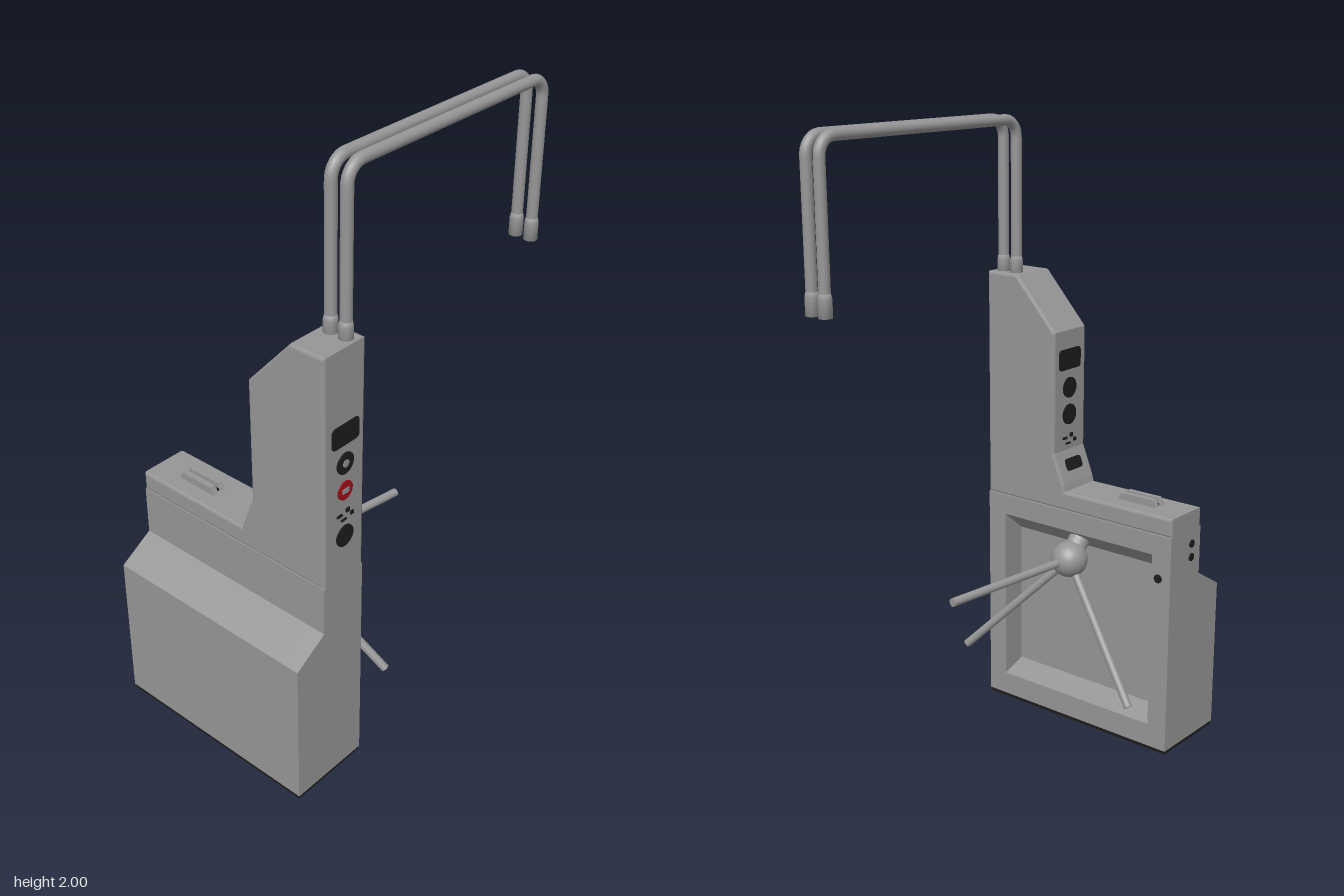
import * as THREE from 'three';

const mat = (name, color) => {
  const m = new THREE.MeshStandardMaterial({ color });
  m.name = name;
  return m;
};

export function createModel() {
  const root = new THREE.Group();
  root.name = 'turnstile';
  const steel = mat('brushed steel', 0x969696);
  const black = mat('black panel', 0x1c1c1c);
  const red = mat('red sign', 0xa01018);

  const add = (name, geo, m, x = 0, y = 0, z = 0, parent = root) => {
    const mesh = new THREE.Mesh(geo, m);
    mesh.name = name;
    mesh.position.set(x, y, z);
    parent.add(mesh);
    return mesh;
  };
  const poly = pts => new THREE.Shape(pts.map(p => new THREE.Vector2(...p)));
  const extrude = (pts, depth) =>
    new THREE.ExtrudeGeometry(poly(pts), { depth, bevelEnabled: false });
  // rounded rectangle plate facing +z
  const plate = (w, h, r, d = 0.004) => {
    const s = new THREE.Shape(), a = w / 2, b = h / 2;
    s.moveTo(-a + r, -b);
    s.lineTo(a - r, -b); s.quadraticCurveTo(a, -b, a, -b + r);
    s.lineTo(a, b - r); s.quadraticCurveTo(a, b, a - r, b);
    s.lineTo(-a + r, b); s.quadraticCurveTo(-a, b, -a, b - r);
    s.lineTo(-a, -b + r); s.quadraticCurveTo(-a, -b, -a + r, -b);
    return new THREE.ExtrudeGeometry(s, { depth: d, bevelEnabled: false, curveSegments: 5 });
  };
  const disc = (r, d = 0.004) =>
    new THREE.CylinderGeometry(r, r, d, 28).rotateX(Math.PI / 2).translate(0, 0, d / 2);
  // round bar between two points
  const bar = (name, a, b, r, parent = root) => {
    const d = b.clone().sub(a);
    const mesh = add(name, new THREE.CylinderGeometry(r, r, d.length(), 20), steel, 0, 0, 0, parent);
    mesh.position.copy(a).addScaledVector(d, 0.5);
    mesh.quaternion.setFromUnitVectors(new THREE.Vector3(0, 1, 0), d.normalize());
    return mesh;
  };

  // Cabinet: solid end sections and a middle section with the arm recess
  const cabinet = new THREE.Group();
  cabinet.name = 'cabinet';
  root.add(cabinet);
  const back = [[-0.27, 0.748], [-0.435, 0.748], [-0.435, 0.585], [-0.55, 0.515], [-0.55, 0.013]];
  const recess = [[-0.27, 0.09], [-0.355, 0.12], [-0.355, 0.61], [-0.27, 0.68]];
  add('recessedSection', extrude([[-0.27, 0.013], ...recess, ...back], 0.6), steel, 0, 0, -0.3, cabinet);
  for (const z of [-0.37, 0.3])
    add('endSection', extrude([[-0.27, 0.013], ...back], 0.07), steel, 0, 0, z, cabinet);
  add('plinth', new THREE.BoxGeometry(0.276, 0.013, 0.736), black, -0.41, 0.0075, 0, cabinet);
  add('basePlate', new THREE.BoxGeometry(0.268, 0.002, 0.728), steel, -0.41, 0.001, 0, cabinet);

  // Lid and control column share one side profile, extruded along x with soft edges
  const bevel = 0.008;
  const columnGeo = new THREE.ExtrudeGeometry(
    poly([[0.37, 0.748], [0.37, 1.5], [0.25, 1.5], [0.095, 1.33], [0.095, 0.93],
      [0.055, 0.83], [0.05, 0.81], [-0.37, 0.81], [-0.37, 0.748]].reverse()),
    { depth: 0.165 - 2 * bevel, bevelEnabled: true, bevelSize: bevel, bevelThickness: bevel,
      bevelOffset: -bevel, bevelSegments: 2 });
  columnGeo.rotateY(-Math.PI / 2);
  add('controlColumn', columnGeo, steel, -0.27 - bevel, 0, 0);

  // Indicator panels on both faces of the column
  const panel = (name, z, turned) => {
    const g = new THREE.Group();
    g.name = name;
    g.position.set(-0.35, 0, z);
    if (turned) g.rotation.y = Math.PI;
    root.add(g);
    add('display', plate(0.11, 0.068, 0.015), black, 0, 1.235, 0, g);
    add('passSign', disc(0.034), black, 0, 1.14, 0, g);
    if (turned) add('stopSign', disc(0.034), black, 0, 1.05, 0, g);
    else {
      add('passSignCentre', disc(0.012), steel, 0, 1.14, 0.002, g);
      add('stopSign', disc(0.03), red, 0, 1.05, 0, g);
      add('stopSignBar', plate(0.028, 0.016, 0.003), steel, 0, 1.05, 0.002, g);
      add('readerSpot', disc(0.035), black, 0, 0.895, 0, g);
    }
    // small card symbol
    for (const [x, y, w, h] of [[-0.022, 0.972, 0.022, 0.008], [0.012, 0.978, 0.014, 0.014],
      [0.03, 0.96, 0.012, 0.012], [-0.005, 0.952, 0.024, 0.006]])
      add('cardSymbol', plate(w, h, 0.002), black, x, y, 0, g);
  };
  panel('frontPanel', 0.37, false);
  panel('rearPanel', 0.095, true);

  // Slotted reader on the sloping foot of the column
  const foot = new THREE.Group();
  foot.name = 'footReader';
  foot.position.set(-0.353, 0.885, 0.077);
  foot.rotation.set(-Math.atan2(0.04, 0.1), Math.PI, 0, 'YXZ');
  root.add(foot);
  add('readerWindow', plate(0.08, 0.04, 0.012), black, 0, 0, 0, foot);

  // Card slot on the lid: two rails with sloped ends around a dark groove
  const railGeo = extrude([[-0.27, 0.808], [-0.12, 0.808], [-0.135, 0.833], [-0.255, 0.833]], 0.019)
    .rotateY(-Math.PI / 2);
  for (const x of [-0.33, -0.361]) add('cardSlotRail', railGeo, steel, x, 0, 0);
  add('cardSlotGroove', new THREE.BoxGeometry(0.012, 0.006, 0.13), black, -0.355, 0.813, -0.195);

  // Locks
  for (const y of [0.70, 0.655]) {
    const lock = add('rearLock', disc(0.013), black, -0.385, y, -0.37);
    lock.rotation.y = Math.PI;
  }
  const sideLock = add('sideLock', disc(0.014), black, -0.27, 0.605, -0.325);
  sideLock.rotation.y = Math.PI / 2;

  // Rotor: hub, tilted shaft and three arms
  const rotor = new THREE.Group();
  rotor.name = 'rotor';
  root.add(rotor);
  const hub = new THREE.Vector3(-0.255, 0.592, 0.014);
  add('hub', new THREE.SphereGeometry(0.06, 32, 20), steel, hub.x, hub.y, hub.z, rotor);
  bar('shaft', hub, new THREE.Vector3(-0.325, 0.665, 0.014), 0.035, rotor);
  for (const end of [[0.243, 0.583, 0.08], [-0.13, 0.235, 0.355], [-0.17, 0.187, -0.292]])
    bar('arm', hub, new THREE.Vector3(...end), 0.0135, rotor);

  // Twin overhead rails with collars
  const L = -0.312, R = 0.525, T = 1.982, B = 0.055, k = 0.45;
  const v = (x, y) => new THREE.Vector3(x, y, 0);
  const path = new THREE.CurvePath();
  path.add(new THREE.LineCurve3(v(L, 1.49), v(L, T - B)));
  path.add(new THREE.CubicBezierCurve3(v(L, T - B), v(L, T - B * k), v(L + B * k, T), v(L + B, T)));
  path.add(new THREE.LineCurve3(v(L + B, T), v(R - B, T)));
  path.add(new THREE.CubicBezierCurve3(v(R - B, T), v(R - B * k, T), v(R, T - B * k), v(R, T - B)));
  path.add(new THREE.LineCurve3(v(R, T - B), v(R, 1.49)));
  const tube = new THREE.TubeGeometry(path, 140, 0.0175, 16);
  const collar = new THREE.LatheGeometry(
    [[0, 0], [0.021, 0], [0.021, 0.055], [0.0175, 0.07], [0, 0.07]].map(p => new THREE.Vector2(...p)), 24);
  for (const z of [0.285, 0.338]) {
    add('overheadRail', tube, steel, 0, 0, z);
    for (const x of [L, R]) add('railCollar', collar, steel, x, 1.482, z);
  }
  return root;
}
